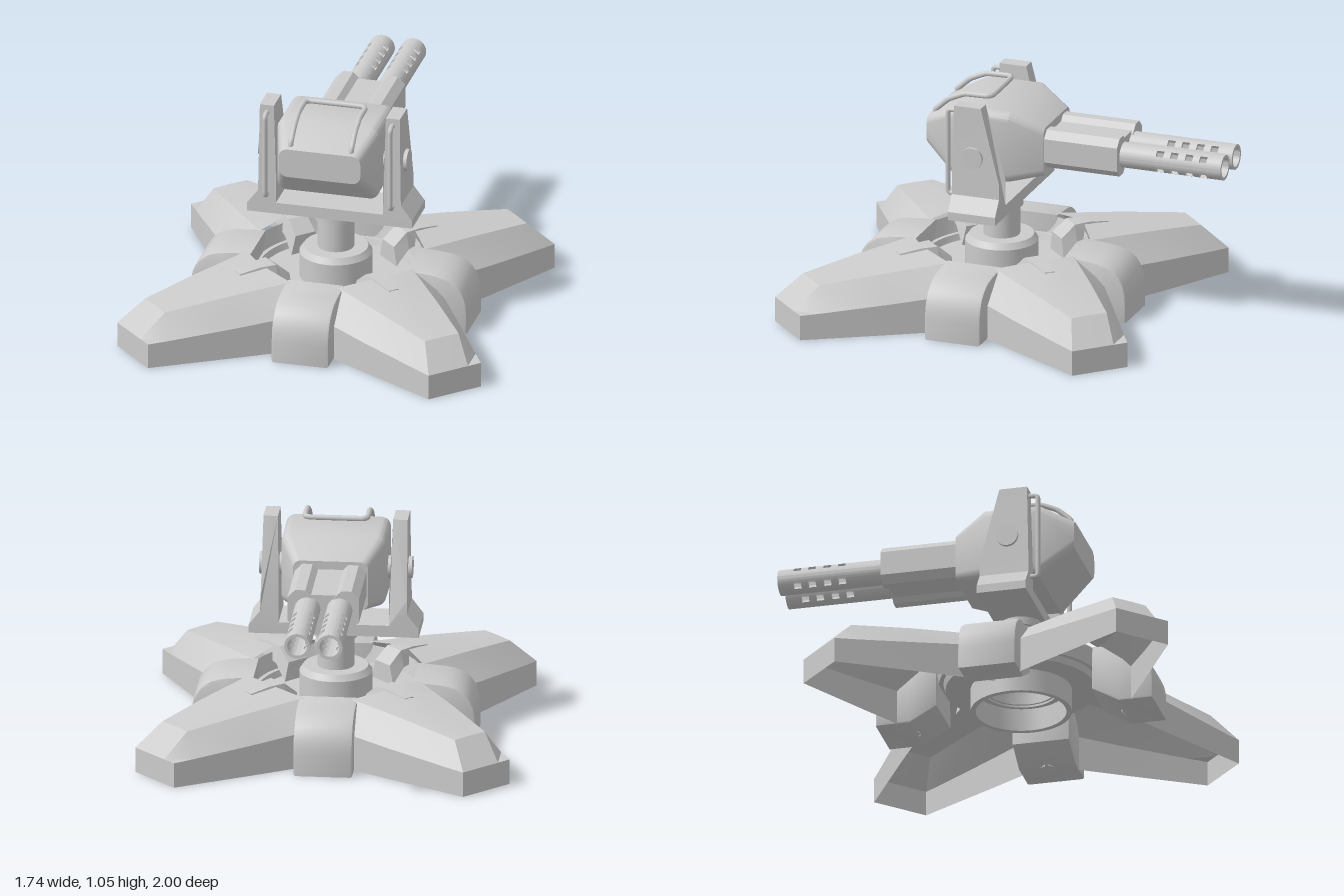
import * as THREE from 'three';
import { toCreasedNormals } from 'three/addons/utils/BufferGeometryUtils.js';

const grey = new THREE.MeshStandardMaterial({ color: 0xcccccc, side: THREE.DoubleSide });
const V = (x, y, z) => new THREE.Vector3(x, y, z);

function add(parent, name, geometry, x = 0, y = 0, z = 0) {
  const mesh = new THREE.Mesh(geometry, grey);
  mesh.name = name;
  mesh.position.set(x, y, z);
  parent.add(mesh);
  return mesh;
}

// Skin over cross-sections (counter-clockwise seen from +z, ordered towards +z)
function loft(sections, { closed = true, startCap = true, endCap = true, crease = 0.6 } = {}) {
  const n = sections[0].length, pos = sections.flat(2), index = [];
  for (let s = 0; s < sections.length - 1; s++) {
    for (let i = 0; i < (closed ? n : n - 1); i++) {
      const a = s * n + i, b = s * n + (i + 1) % n;
      index.push(a, b, b + n, a, b + n, a + n);
    }
  }
  const cap = (s, flip) => {
    const c = pos.length / 3;
    for (let k = 0; k < 3; k++) pos.push(sections[s].reduce((t, p) => t + p[k], 0) / n);
    for (let i = 0; i < n; i++) {
      const a = s * n + i, b = s * n + (i + 1) % n;
      index.push(c, flip ? b : a, flip ? a : b);
    }
  };
  if (startCap) cap(0, true);
  if (endCap) cap(sections.length - 1, false);
  const g = new THREE.BufferGeometry();
  g.setAttribute('position', new THREE.Float32BufferAttribute(pos, 3));
  g.setIndex(index);
  return toCreasedNormals(g, crease);
}

// Rounded rectangle cross-section at depth z
function roundedSection(w, y0, y1, z, r, cx = 0, steps = 4) {
  const pts = [];
  [[1, 1], [-1, 1], [-1, -1], [1, -1]].forEach(([sx, sy], q) => {
    for (let i = 0; i <= steps; i++) {
      const a = (q + i / steps) * Math.PI / 2;
      pts.push([cx + sx * (w - r) + r * Math.cos(a), (sy > 0 ? y1 - r : y0 + r) + r * Math.sin(a), z]);
    }
  });
  return pts;
}

function polygon(points) {
  return new THREE.Shape(points.map(([x, y]) => new THREE.Vector2(x, y)));
}

function rod(points, radius) {
  const curve = new THREE.CatmullRomCurve3(points, false, 'catmullrom', 0.12);
  return new THREE.TubeGeometry(curve, 48, radius, 8);
}

// Hollow splayed leg: half outline of each section, mirrored
function legGeometry() {
  const section = (w, h1, s, hs, hc, uEdge, uShoulder, uCrest) => [
    [w, 0, uEdge], [w, h1, uEdge], [s, hs, uShoulder], [0, hc, uCrest],
    [-s, hs, uShoulder], [-w, h1, uEdge], [-w, 0, uEdge]];
  return loft([
    section(0.335, 0.18, 0.2, 0.29, 0.315, 0.345, 0.36, 0.41),
    section(0.25, 0.15, 0.145, 0.265, 0.276, 0.68, 0.68, 0.68),
    section(0.164, 0.125, 0.09, 0.235, 0.237, 1.0, 0.97, 0.97),
    section(0.14, 0.12, 0.07, 0.12, 0.12, 1.09, 1.09, 1.09),
  ], { closed: false, startCap: false, crease: 0.5 });
}

// Claw gripping the inner edge of a leg
function clawGeometry() {
  const section = (w, y0, y1, u) => [[w, y0, u], [w * 0.7, y1, u], [-w * 0.7, y1, u], [-w, y0, u]];
  return loft([section(0.075, 0.17, 0.26, 0.28), section(0.07, 0.24, 0.317, 0.35),
    section(0.055, 0.25, 0.316, 0.43), section(0.035, 0.25, 0.3, 0.53)], { crease: 0.3 });
}

// Rounded block filling the gap between two legs
function blockGeometry() {
  const s = new THREE.Shape();
  s.moveTo(0.38, 0.08);
  s.lineTo(0.38, 0.28);
  s.lineTo(0.5, 0.27);
  s.bezierCurveTo(0.6, 0.26, 0.65, 0.2, 0.65, 0.1);
  s.lineTo(0.65, 0.01);
  s.lineTo(0.5, 0.01);
  const g = new THREE.ExtrudeGeometry(s, { depth: 0.254, bevelSize: 0.01, bevelThickness: 0.01, bevelSegments: 2, curveSegments: 8 });
  g.translate(0, 0, -0.127).rotateY(-Math.PI / 2);
  return toCreasedNormals(g, 0.6);
}

function buildBase() {
  const base = new THREE.Group();
  base.name = 'base';
  base.position.z = 0.13;
  const leg = legGeometry(), claw = clawGeometry(), block = blockGeometry();
  for (let k = 0; k < 4; k++) {
    const diagonal = Math.PI / 4 + k * Math.PI / 2;
    add(base, 'leg', leg).rotation.y = diagonal;
    add(base, 'claw', claw).rotation.y = diagonal;
    add(base, 'block', block).rotation.y = k * Math.PI / 2;
  }
  const lathe = pts => toCreasedNormals(new THREE.LatheGeometry(pts.map(p => new THREE.Vector2(...p)), 48), 0.6);
  add(base, 'well', lathe([[0.16, 0.17], [0.35, 0.17], [0.36, 0.2], [0.38, 0.2], [0.4, 0.28]]));
  add(base, 'lowerRing', lathe([[0.21, 0.17], [0.21, 0.06], [0.235, 0.06], [0.235, 0.17]]));
  add(base, 'pedestal', lathe([[0.17, 0.16], [0.17, 0.29], [0.15, 0.318], [0, 0.318]]));
  add(base, 'column', new THREE.CylinderGeometry(0.085, 0.085, 0.2, 32), 0, 0.4);
  add(base, 'collar', new THREE.CylinderGeometry(0.1, 0.1, 0.04, 32), 0, 0.482);
  return base;
}

// U-shaped yoke, its arms leaning forward at the back edge
function buildYoke() {
  const yoke = new THREE.Group();
  yoke.name = 'yoke';
  const half = [[0.395, 0.5], [0.395, 0.54], [0.342, 0.61], [0.34, 0.68], [0.335, 1.045], [0.268, 1.045], [0.256, 0.68], [0.256, 0.555]];
  const outline = [...half, ...half.map(([x, y]) => [-x, y]).reverse()];
  const g = new THREE.ExtrudeGeometry(polygon(outline), { depth: 0.23, bevelEnabled: false });
  g.translate(0, 0, 0.02);
  const p = g.attributes.position;
  for (let i = 0; i < p.count; i++) {
    const t = Math.max(0, (p.getY(i) - 0.68) / 0.365);
    p.setZ(i, p.getZ(i) < 0.1 ? 0.017 + 0.093 * t : 0.25 - 0.008 * t);
  }
  add(yoke, 'yokeFrame', toCreasedNormals(g, 0.3));
  for (const s of [1, -1]) {
    const pin = add(yoke, 'trunnion', new THREE.CylinderGeometry(0.052, 0.052, 0.13, 24), s * 0.29, 0.8, 0.15);
    pin.rotation.z = Math.PI / 2;
    add(yoke, 'armHandle', rod([V(s * 0.3, 1.01, 0.23), V(s * 0.3, 1.01, 0.275), V(s * 0.3, 0.99, 0.285),
      V(s * 0.3, 0.62, 0.285), V(s * 0.3, 0.6, 0.275), V(s * 0.3, 0.6, 0.23)], 0.012));
  }
  return yoke;
}

// Hollow barrel: full rings alternating with rings broken by four slots
function buildBarrel() {
  const barrel = new THREE.Group();
  barrel.name = 'barrel';
  const ring = (a0, a1, z0, z1, n) => {
    const s = new THREE.Shape();
    s.absarc(0, 0, 0.06, a0, a1, false);
    s.absarc(0, 0, 0.046, a1, a0, true);
    const g = new THREE.ExtrudeGeometry(s, { depth: z1 - z0, bevelEnabled: false, curveSegments: n });
    add(barrel, 'barrelRing', toCreasedNormals(g, 0.6), 0, 0, z0);
  };
  const gap = 0.26;
  let z = -1;
  for (const c of [-0.908, -0.838, -0.765, -0.695]) {
    ring(0, Math.PI * 2, z, c - 0.018, 32);
    for (let k = 0; k < 4; k++) {
      const a = Math.PI / 4 + k * Math.PI / 2;
      ring(a + gap, a + Math.PI / 2 - gap, c - 0.018, c + 0.018, 6);
    }
    z = c + 0.018;
  }
  ring(0, Math.PI * 2, z, -0.45, 32);
  return barrel;
}

function buildGun() {
  const gun = new THREE.Group();
  gun.name = 'gun';
  add(gun, 'housing', loft([
    roundedSection(0.175, 0.685, 0.92, -0.14, 0.035),
    roundedSection(0.243, 0.655, 1.0, 0.01, 0.045),
    roundedSection(0.243, 0.64, 1.0, 0.27, 0.045),
    roundedSection(0.195, 0.78, 0.92, 0.43, 0.04),
  ]));
  // Carrying handle over the top
  const side = s => [V(s * 0.145, 0.9, 0.4), V(s * 0.145, 0.94, 0.405), V(s * 0.145, 1.0, 0.34),
    V(s * 0.145, 1.035, 0.26), V(s * 0.145, 1.038, 0.15), V(s * 0.125, 1.038, 0.13)];
  add(gun, 'topHandle', rod([...side(-1), ...side(1).reverse()], 0.013));
  for (const s of [1, -1]) {
    add(gun, 'barrelSleeve', loft([-0.5, -0.12].map(z => roundedSection(0.059, 0.72, 0.905, z, 0.035, s * 0.107, 1)), { crease: 0.3 }));
    const barrel = buildBarrel();
    barrel.position.set(s * 0.075, 0.81, 0);
    gun.add(barrel);
  }
  add(gun, 'sleeveBridge', new THREE.BoxGeometry(0.12, 0.14, 0.37), 0, 0.81, -0.305);
  return gun;
}

export function createModel() {
  const model = new THREE.Group();
  model.name = 'turret';
  model.add(buildBase(), buildYoke(), buildGun());
  return model;
}
